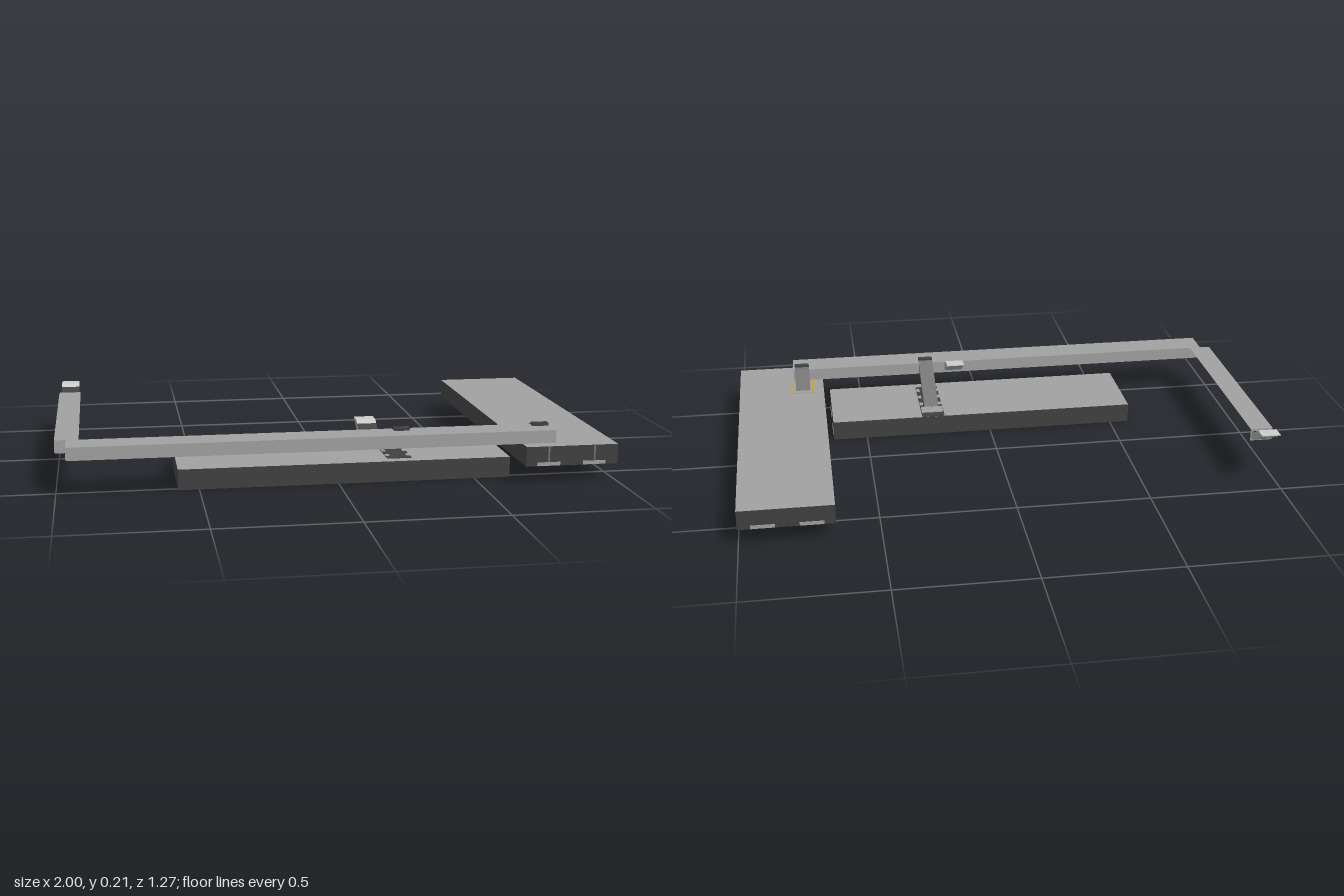
import * as THREE from 'three';

const mat = (name, color) => {
  const m = new THREE.MeshStandardMaterial({ color });
  m.name = name;
  return m;
};

export function createModel() {
  const light = mat('lightGrey', 0xa0a0a0);
  const mid = mat('midGrey', 0x727272);
  const dark = mat('darkGrey', 0x404040);
  const pale = mat('paleGrey', 0xcacaca);
  const yellow = mat('yellow', 0xc8a020);
  const model = new THREE.Group();

  const add = (name, geometry, material, parent = model) => {
    const mesh = new THREE.Mesh(geometry, material);
    mesh.name = name;
    parent.add(mesh);
    return mesh;
  };
  // Box given by its limits on each axis
  const box = (name, x0, x1, y0, y1, z0, z1, material, parent) =>
    add(name, new THREE.BoxGeometry(x1 - x0, y1 - y0, z1 - z0)
      .translate((x0 + x1) / 2, (y0 + y1) / 2, (z0 + z1) / 2), material, parent);
  // Side profile of [z, y] points, extruded across x
  const prism = (name, points, x0, x1, material, parent) => {
    const shape = new THREE.Shape(points.map(([z, y]) => new THREE.Vector2(z, y)));
    const g = new THREE.ExtrudeGeometry(shape, { depth: x1 - x0, bevelEnabled: false });
    return add(name, g.rotateY(-Math.PI / 2).translate(x1, 0, 0), material, parent);
  };
  // Thin strip laid along a slope from [z, y] to [z, y]
  const skin = (name, a, b, x0, x1, material, parent, t = 0.003) =>
    prism(name, [a, b, [b[0], b[1] + t], [a[0], a[1] + t]], x0, x1, material, parent);

  // Platforms: light deck, dark sides and underside
  const deck = [dark, dark, light, dark, dark, dark];
  box('lowerPlatform', -0.575, 0.633, 0, 0.075, 0.18, 0.52, deck);
  box('sidePlatform', 0.66, 1, 0.065, 0.137, -0.637, 0.633, deck);

  // Entrance panels on the platform ends
  for (const z of [0.225, 0.395]) {
    box('lowerEntrance', 0.632, 0.635, 0.001, 0.014, z, z + 0.085, light);
  }
  for (const x of [0.7, 0.87]) {
    for (const z of [0.634, -0.638]) {
      box('sideEntrance', x, x + 0.085, 0.066, 0.079, z - 0.001, z + 0.001, light);
    }
    box('entrancePost', x + 0.04, x + 0.046, 0.079, 0.135, 0.632, 0.635, mid);
  }

  // Long walkway
  box('walkway', -0.96, 0.78, 0.14, 0.187, 0.48, 0.595, [mid, mid, light, dark, light, light]);

  // Rear-going arm, open on its inner side
  const arm = new THREE.BoxGeometry(0.085, 0.047, 0.84).translate(-0.9575, 0.1635, 0.06);
  arm.setIndex(Array.from(arm.index.array).slice(6));
  arm.clearGroups();
  [light, light, dark, light, light].forEach((_, i) => arm.addGroup(i * 6, 6, i));
  add('arm', arm, [light, light, dark, light, light]);

  // Raised exits with a dark opening and a pale canopy
  for (const [x, s] of [[-0.99, -0.36], [0.08, 0.49]]) {
    const exit = new THREE.Group();
    exit.name = 'exitRamp';
    model.add(exit);
    const x1 = x + 0.07;
    prism('rampBody', [[s, 0.143], [s, 0.173], [s - 0.065, 0.209], [s - 0.115, 0.209]], x, x1, light, exit);
    skin('opening', [s, 0.173], [s - 0.045, 0.198], x, x1, dark, exit);
    skin('canopySlope', [s - 0.045, 0.198], [s - 0.065, 0.209], x, x1, pale, exit);
    skin('canopyTop', [s - 0.065, 0.209], [s - 0.115, 0.209], x, x1, pale, exit);
  }

  // Stair from the lower platform to the walkway
  const stair = new THREE.Group();
  stair.name = 'longStair';
  model.add(stair);
  box('stairWell', 0.185, 0.275, 0.075, 0.078, 0.181, 0.48, dark, stair);
  box('landing', 0.187, 0.273, 0.078, 0.08, 0.215, 0.27, light, stair);
  for (const x of [0.185, 0.261]) {
    for (let i = 0; i < 3; i++) {
      box('wellEdge', x, x + 0.014, 0.078, 0.08, 0.29 + i * 0.07, 0.315 + i * 0.07, light, stair);
    }
  }
  prism('stairFlight', [[0.27, 0.075], [0.32, 0.075], [0.52, 0.18], [0.52, 0.192], [0.49, 0.192]],
    0.2, 0.257, mid, stair);
  box('stairHead', 0.2, 0.257, 0.187, 0.198, 0.497, 0.522, dark, stair);

  // Short stair from the side platform to the walkway
  const shortStair = new THREE.Group();
  shortStair.name = 'shortStair';
  model.add(shortStair);
  box('stairWell', 0.705, 0.79, 0.137, 0.139, 0.352, 0.48, light, shortStair);
  for (const x of [0.702, 0.787]) {
    box('safetyLine', x, x + 0.006, 0.137, 0.141, 0.352, 0.48, yellow, shortStair);
  }
  prism('stairFlight', [[0.37, 0.137], [0.42, 0.137], [0.52, 0.185], [0.52, 0.192], [0.48, 0.192]],
    0.715, 0.773, mid, shortStair);
  box('stairHead', 0.715, 0.773, 0.187, 0.198, 0.497, 0.522, dark, shortStair);

  return model;
}
